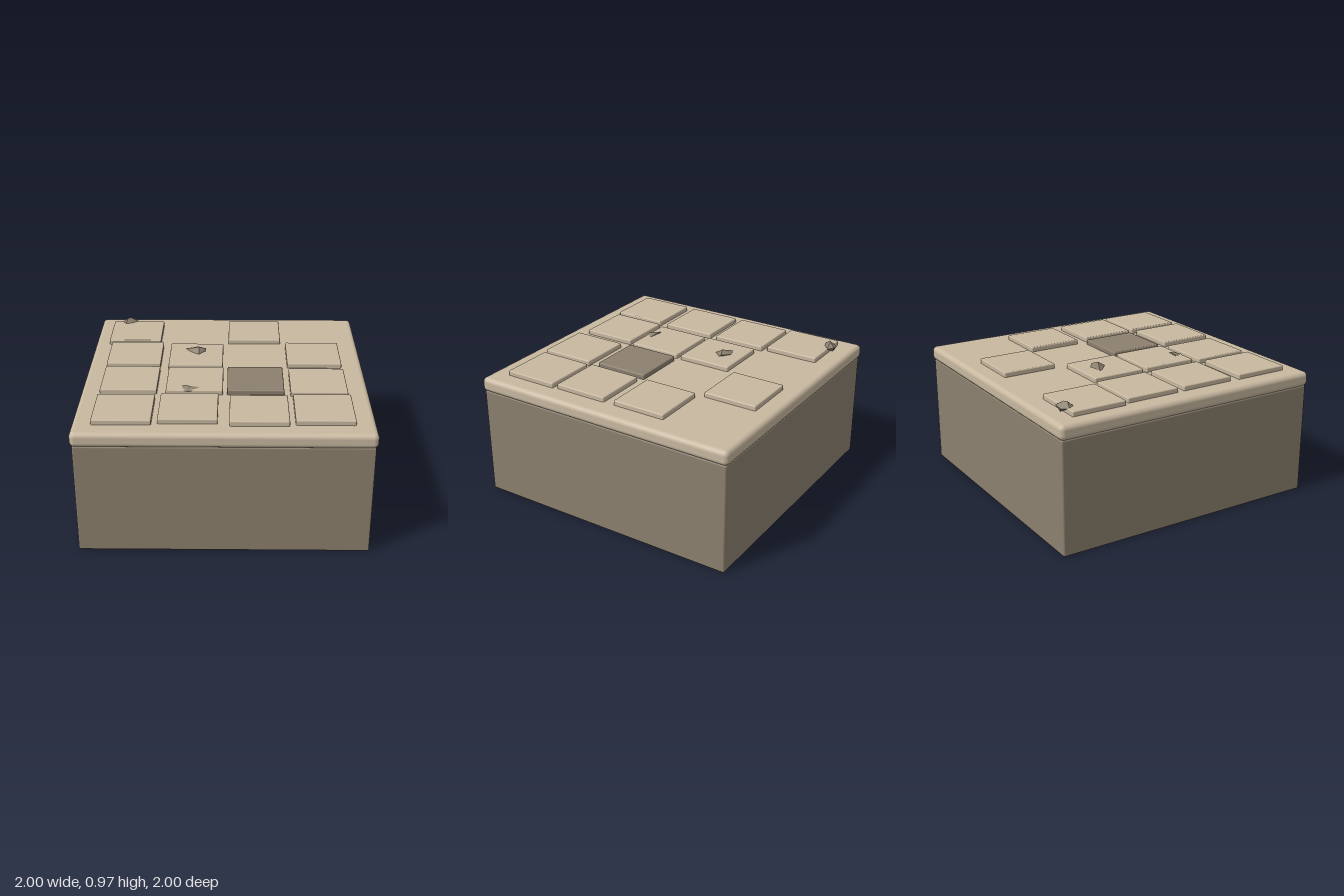
import * as THREE from 'three';
import { RoundedBoxGeometry } from 'three/addons/geometries/RoundedBoxGeometry.js';
import { ConvexGeometry } from 'three/addons/geometries/ConvexGeometry.js';

const TILE = 0.395;

export function createModel() {
  const group = new THREE.Group();
  const light = new THREE.MeshStandardMaterial({ color: 0xc8b8a0 });
  const dark = new THREE.MeshStandardMaterial({ color: 0x8c806e });
  const stone = new THREE.MeshStandardMaterial({ color: 0x8c806e, flatShading: true });

  const add = (name, geometry, material, x = 0, y = 0, z = 0) => {
    const mesh = new THREE.Mesh(geometry, material);
    mesh.name = name;
    mesh.position.set(x, y, z);
    group.add(mesh);
  };

  // Solid base block and the wider rounded slab on top
  add('base', new RoundedBoxGeometry(1.975, 0.8, 1.975, 2, 0.012), dark, 0, 0.4, 0);
  add('topSlab', new RoundedBoxGeometry(2, 0.105, 2, 4, 0.035), light, 0, 0.8475, 0);

  // Loose paving tiles, one of them sooty: [x, z, isDark]
  const tileGeometry = new RoundedBoxGeometry(TILE, 0.05, TILE, 2, 0.009);
  const tiles = [
    [-0.695, -0.655], [0.216, -0.67],
    [-0.67, -0.23], [-0.217, -0.203], [0.647, -0.23],
    [-0.668, 0.214], [-0.211, 0.222], [0.214, 0.22, true], [0.652, 0.243],
    [-0.674, 0.674], [-0.24, 0.655], [0.233, 0.684], [0.666, 0.668],
  ];
  tiles.forEach(([x, z, isDark], i) =>
    add(isDark ? 'darkTile' : `tile${i + 1}`, tileGeometry, isDark ? dark : light, x, 0.91, z));

  // Chips of rubble: corners relative to each chip's centre on the tile top
  const rubble = [
    { at: [-0.765, 0.93, -0.84], corners: [
      [-0.065, 0.002, 0], [-0.03, 0, -0.045], [0.03, 0.01, -0.05], [0.065, 0.002, -0.01],
      [0.02, 0, 0.035], [-0.035, 0.002, 0.05], [0, 0.037, -0.005], [-0.02, 0.037, 0.01],
      [0, -0.03, -0.03], [0.01, -0.03, 0.02]] },
    { at: [-0.22, 0.93, -0.255], corners: [
      [-0.075, 0.008, -0.035], [0.01, 0.015, -0.065], [0.07, 0.02, -0.015], [0.065, 0, 0.01],
      [0.02, 0.005, 0.06], [-0.04, 0, 0.02], [0.018, 0.04, 0.005], [0, -0.015, 0]] },
    { at: [-0.235, 0.93, 0.385], corners: [
      [-0.065, 0.006, -0.035], [-0.05, 0.014, -0.03], [0.065, 0.004, -0.015], [0.04, 0, 0.025],
      [-0.02, 0, 0.045], [-0.055, 0, 0.03], [-0.02, 0.016, 0], [0, -0.02, 0.01]] },
  ];
  rubble.forEach(({ at, corners }, i) =>
    add(`rubble${i + 1}`, new ConvexGeometry(corners.map((c) => new THREE.Vector3(...c))), stone, ...at));

  return group;
}
